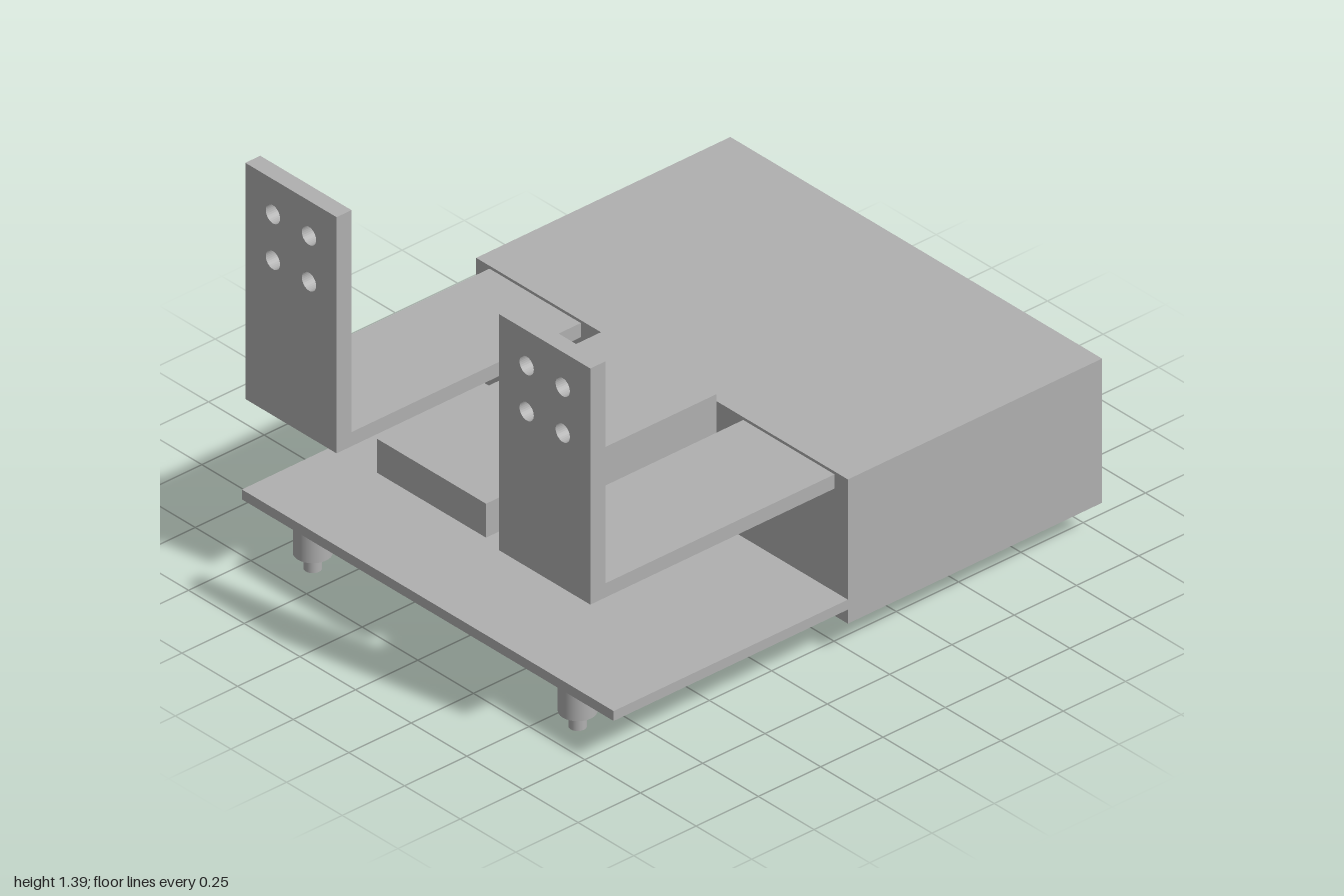
import * as THREE from 'three';

const grey = new THREE.MeshStandardMaterial({ color: 0xb0b0b0 });
grey.name = 'plainGrey';

export function createModel() {
  const group = new THREE.Group();

  const add = (name, geometry, parent = group) => {
    const mesh = new THREE.Mesh(geometry, grey);
    mesh.name = name;
    parent.add(mesh);
    return mesh;
  };

  // box given by its limits on each axis
  const slab = (name, [x0, x1], [y0, y1], [z0, z1], parent) => {
    const mesh = add(name, new THREE.BoxGeometry(x1 - x0, y1 - y0, z1 - z0), parent);
    mesh.position.set((x0 + x1) / 2, (y0 + y1) / 2, (z0 + z1) / 2);
    return mesh;
  };

  // rectangle with four round holes in a square pattern
  const drilledPlate = (u0, u1, v0, v1, hu, hv, depth) => {
    const shape = new THREE.Shape([[u0, v0], [u1, v0], [u1, v1], [u0, v1]].map(p => new THREE.Vector2(...p)));
    for (const su of [-1, 1]) for (const sv of [-1, 1]) {
      shape.holes.push(new THREE.Path().absarc(hu + su * 0.081, hv + sv * 0.081, 0.032, 0, Math.PI * 2, true));
    }
    return new THREE.ExtrudeGeometry(shape, { depth, bevelEnabled: false, curveSegments: 16 });
  };

  // hollow housing, open at the back, with a thick inner wall
  const outline = new THREE.Shape();
  outline.moveTo(-0.02, 0.11).lineTo(1, 0.11).lineTo(1, 0.62).lineTo(-0.02, 0.62).closePath();
  const hollow = new THREE.Path();
  hollow.moveTo(0.09, 0.145).lineTo(0.09, 0.585).lineTo(0.965, 0.585).lineTo(0.965, 0.145).closePath();
  outline.holes.push(hollow);
  const housing = new THREE.ExtrudeGeometry(outline, { depth: 1.635, bevelEnabled: false });
  housing.translate(0, 0, -0.835);
  add('housingShell', housing);
  slab('housingFront', [-0.02, 1], [0.11, 0.62], [0.8, 0.835]);

  // thin base plate beside the housing
  slab('basePlate', [-0.96, -0.02], [0.16, 0.195], [-0.835, 0.835]);

  // stepped feet
  for (const x of [-0.89, -0.095]) for (const z of [-0.595, 0.595]) {
    const foot = new THREE.Group();
    foot.name = 'foot';
    foot.position.set(x, 0, z);
    group.add(foot);
    add('footCollar', new THREE.CylinderGeometry(0.06, 0.06, 0.105, 32), foot).position.y = 0.1075;
    add('footPin', new THREE.CylinderGeometry(0.028, 0.028, 0.055, 24), foot).position.y = 0.0275;
  }

  // two L brackets with drilled uprights
  for (const s of [-1, 1]) {
    const bracket = new THREE.Group();
    bracket.name = s > 0 ? 'frontBracket' : 'backBracket';
    bracket.position.z = s * 0.57;
    group.add(bracket);
    slab('bracketArm', [-0.94, -0.02], [0.56, 0.61], [-0.205, 0.205], bracket);
    const upright = drilledPlate(-0.205, 0.205, 0.56, 1.395, 0, 1.19, 0.06);
    upright.rotateY(Math.PI / 2).translate(-1, 0, 0);
    add('bracketUpright', upright, bracket);
  }

  // central mounting block with holes in its top
  const mount = drilledPlate(-0.945, -0.02, -0.245, 0.245, -0.45, 0, 0.12);
  mount.rotateX(-Math.PI / 2).translate(0, 0.525, 0);
  add('mountBlock', mount);

  // sloping gusset below the mounting block
  const wedge = new THREE.Shape();
  wedge.moveTo(-0.55, 0.525).lineTo(-0.02, 0.2).lineTo(-0.02, 0.525).closePath();
  const gusset = new THREE.ExtrudeGeometry(wedge, { depth: 0.49, bevelEnabled: false });
  gusset.translate(0, 0, -0.245);
  add('mountGusset', gusset);

  return group;
}
